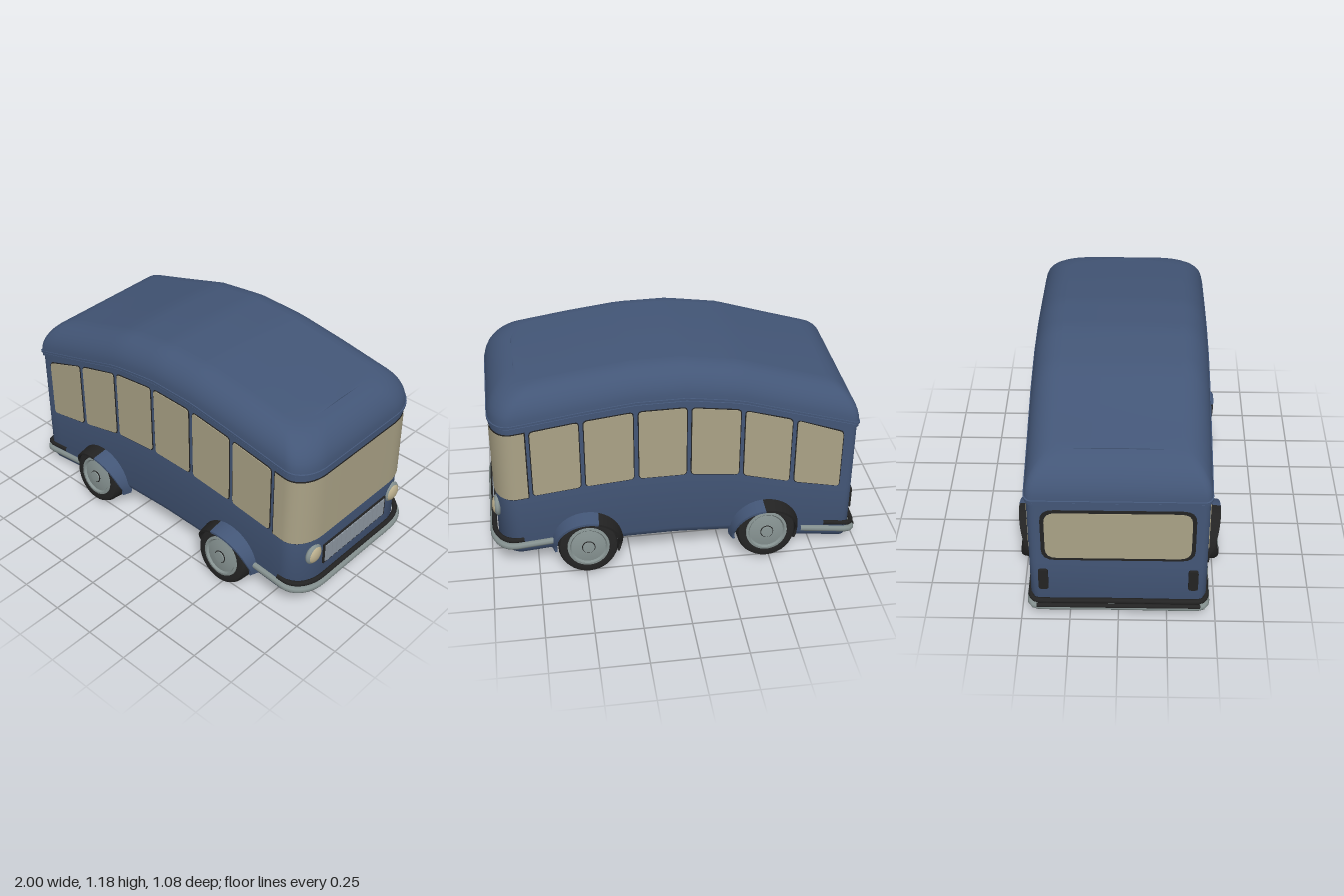
import * as THREE from 'three';
import { toCreasedNormals } from 'three/addons/utils/BufferGeometryUtils.js';

const material = (name, color) => {
  const m = new THREE.MeshStandardMaterial({ color });
  m.name = name;
  return m;
};

// Piecewise curve y(x) through a few points
const curve = (pts) => (x) => {
  let i = 1;
  while (i < pts.length - 1 && x > pts[i][0]) i++;
  const [x0, y0] = pts[i - 1], [x1, y1] = pts[i];
  return y0 + (y1 - y0) * (x - x0) / (x1 - x0);
};
const bottom = curve([[-0.96, 0.02], [-0.65, 0.06], [-0.3, 0.135], [0, 0.15], [0.35, 0.145], [0.65, 0.118], [0.95, 0.09]]);
const eave = curve([[-0.96, 0.79], [-0.62, 0.892], [-0.33, 0.982], [-0.05, 1.022], [0.22, 1.018], [0.5, 0.982], [0.77, 0.94], [0.95, 0.915]]);
const height = (x, v) => bottom(x) + (eave(x) - bottom(x)) * v;

// Half of the plan outline, nose centre to tail centre along +z, inset by d
function halfPlan(d) {
  const F = 0.955 - d, R = -0.96 + d, W = 0.45 - d, rx = 0.12, rz = 0.18, rr = 0.04;
  const pts = [[F, 0], [F, (W - rz) / 2]];
  for (let i = 0; i <= 10; i++) {
    const a = i / 10 * Math.PI / 2;
    pts.push([F - rx + rx * Math.cos(a), W - rz + rz * Math.sin(a)]);
  }
  for (let i = 1; i < 28; i++) pts.push([F - rx + (R + rr - F + rx) * i / 28, W]);
  for (let i = 0; i <= 4; i++) {
    const a = i / 4 * Math.PI / 2;
    pts.push([R + rr - rr * Math.sin(a), W - rr + rr * Math.cos(a)]);
  }
  pts.push([R, 0]);
  return pts;
}
const mirrored = (pts) => pts.map(([x, z]) => [x, -z]);
const fullPlan = (d) => {
  const h = halfPlan(d);
  return [...h, ...mirrored(h).reverse().slice(1)];
};
const lift = (pts, f) => pts.map(([x, z]) => [x, f(x, z), z]);

// Skin between rows of points
function loft(rows, crease = 0.7) {
  const n = rows[0].length, index = [];
  for (let k = 0; k < rows.length - 1; k++) {
    for (let i = 0; i < n - 1; i++) {
      const a = k * n + i, b = a + 1, c = a + n, e = c + 1;
      index.push(a, c, b, b, c, e);
    }
  }
  const g = new THREE.BufferGeometry();
  g.setAttribute('position', new THREE.Float32BufferAttribute(rows.flat(2), 3));
  g.setIndex(index);
  return toCreasedNormals(g, crease);
}

// Thin plate with rounded corners
function plate(corners, r, depth) {
  const p = corners.map(([x, y]) => new THREE.Vector2(x, y)), s = new THREE.Shape();
  p.forEach((c, i) => {
    const toward = (q) => c.clone().add(q.clone().sub(c).setLength(r));
    const a = toward(p[(i + 3) % 4]), b = toward(p[(i + 1) % 4]);
    if (i) s.lineTo(a.x, a.y); else s.moveTo(a.x, a.y);
    s.quadraticCurveTo(c.x, c.y, b.x, b.y);
  });
  s.closePath();
  return new THREE.ExtrudeGeometry(s, { depth, bevelEnabled: false, curveSegments: 4 });
}

export function createModel() {
  const model = new THREE.Group();
  const blue = material('body blue', 0x435677);
  const glass = material('window cream', 0xaaa286);
  const lamp = material('lamp cream', 0xbdb18f);
  const chrome = material('chrome grey', 0x84908f);
  const silver = material('grille silver', 0x8f99a3);
  const black = material('rubber black', 0x232323);
  const add = (name, geometry, mat, parent = model) => {
    const m = new THREE.Mesh(geometry, mat);
    m.name = name;
    parent.add(m);
    return m;
  };

  // Body walls with a rounded lower edge, and the floor
  const sill = [[0.05, 0], [0.03, 0.005], [0.012, 0.018], [0, 0.05]];
  const walls = sill.map(([d, h]) => lift(fullPlan(d), (x) => bottom(x) + h));
  for (const v of [0.45, 0.98]) walls.push(lift(fullPlan(0), (x) => height(x, v)));
  add('body', loft(walls), blue);
  const floor = halfPlan(0.05);
  add('floor', loft([lift(mirrored(floor), bottom), lift(floor, bottom)]), blue);

  // Gutter around the eave
  const gutter = [[0, 0.958], [-0.007, 0.962], [-0.007, 0.982], [0, 0.985], [0, 0.988], [-0.012, 0.99], [-0.012, 1.004], [0, 1.008]];
  add('roofGutter', loft(gutter.map(([d, v]) => lift(fullPlan(d), (x) => height(x, v)))), blue);

  // Domed roof
  const dome = [], roofInset = (a) => -0.008 + 0.15 * (1 - Math.cos(a));
  for (let i = 0; i <= 9; i++) {
    const a = i / 9 * Math.PI / 2;
    dome.push(lift(fullPlan(roofInset(a)), (x) => eave(x) + 0.162 * Math.sin(a)));
  }
  add('roof', loft(dome, 1), blue);
  const top = halfPlan(roofInset(Math.PI / 2)), crown = [];
  for (let i = 0; i <= 6; i++) {
    const t = 1 - i / 3;
    crown.push(top.map(([x, z]) => [x, eave(x) + 0.162 + 0.006 * (1 - t * t), z * t]));
  }
  add('roofTop', loft(crown, 1), blue);

  // Side windows with dark rims
  const bays = [[-0.88, -0.632], [-0.602, -0.355], [-0.327, -0.075], [-0.047, 0.2], [0.23, 0.48], [0.508, 0.755]];
  const bay = (a, b, e) => [
    [a - e, height(a, 0.465) - e], [b + e, height(b, 0.465) - e],
    [b + e, height(b, 0.932) + e], [a - e, height(a, a < -0.8 ? 0.905 : 0.932) + e]];
  for (const s of [1, -1]) {
    bays.forEach(([a, b], i) => {
      const rim = add('windowRim' + i, plate(bay(a, b, 0.005), 0.025, 0.004), black);
      const pane = add('sideWindow' + i, plate(bay(a, b, 0), 0.02, 0.008), glass);
      rim.position.z = s > 0 ? 0.449 : -0.453;
      pane.position.z = s > 0 ? 0.449 : -0.457;
    });
  }

  // Wraparound windscreen; noseRun is an outline strip round the front
  const noseRun = (start, d) => {
    const h = halfPlan(d).filter(([x]) => x > start + 0.01);
    h.push([start, 0.45 - d]);
    return [...mirrored(h).reverse(), ...h.slice(1)];
  };
  const screen = (start, d, v0, v1) =>
    loft([v0, v1].map((v) => lift(noseRun(start, d), (x) => height(x, v))));
  add('windscreenRim', screen(0.776, -0.003, 0.45, 0.942), black);
  add('windscreen', screen(0.782, -0.006, 0.456, 0.936), glass);

  // Rear window and tail lamps
  const rect = (w, y0, y1) => [[-w, y0], [w, y0], [w, y1], [-w, y1]];
  const onTail = (name, corners, r, depth, mat, z = 0) => {
    const m = add(name, plate(corners, r, depth), mat);
    m.rotation.y = -Math.PI / 2;
    m.position.set(-0.959, 0, z);
  };
  onTail('rearWindowRim', rect(0.385, 0.395, 0.725), 0.07, 0.005, black);
  onTail('rearWindow', rect(0.365, 0.412, 0.708), 0.06, 0.008, glass);
  for (const s of [1, -1]) onTail('tailLamp', rect(0.025, 0.2, 0.33), 0.015, 0.016, black, s * 0.38);

  // Grille and headlamps
  const box = (name, mat, sx, sy, sz, x, y, z) =>
    add(name, new THREE.BoxGeometry(sx, sy, sz), mat).position.set(x, y, z);
  box('grilleFrame', black, 0.016, 0.126, 0.52, 0.955, 0.32, 0);
  box('grillePanel', silver, 0.016, 0.108, 0.498, 0.958, 0.32, 0);
  for (let i = -6; i <= 6; i++) box('grilleSlat', silver, 0.01, 0.104, 0.012, 0.965, 0.32, i * 0.038);
  for (const s of [1, -1]) {
    const shell = add('headlampShell', new THREE.SphereGeometry(0.058, 24, 16), chrome);
    shell.scale.x = 0.42;
    shell.position.set(0.948, 0.365, s * 0.328);
    const lens = add('headlampLens', new THREE.SphereGeometry(0.05, 24, 16), lamp);
    lens.scale.x = 0.5;
    lens.position.set(0.953, 0.365, s * 0.328);
  }

  // Bumpers: a chrome bar and a dark upper rail at each end
  const bar = (name, run, rise, r, mat) => {
    const pts = run.map(([x, z]) => new THREE.Vector3(x, bottom(x) + rise, z * 0.955));
    add(name, new THREE.TubeGeometry(new THREE.CatmullRomCurve3(pts), 64, r, 8), mat);
  };
  const tailRun = (start, d) => {
    const h = halfPlan(d).filter(([x]) => x < start);
    return [...h, ...mirrored(h).reverse().slice(1)];
  };
  bar('frontBumper', noseRun(0.66, -0.027), 0.075, 0.018, chrome);
  bar('frontBumperRail', noseRun(0.82, -0.02), 0.108, 0.014, black);
  bar('rearBumper', tailRun(-0.66, -0.022), 0.07, 0.018, chrome);
  bar('rearBumperRail', tailRun(-0.78, -0.02), 0.11, 0.014, black);
  const rearBar = add('rearBumperPad', new THREE.CylinderGeometry(0.012, 0.012, 0.84, 10), black);
  rearBar.rotation.x = Math.PI / 2;
  rearBar.position.set(-0.988, 0.098, 0);

  // Splayed wheels
  const lathe = (pts) =>
    toCreasedNormals(new THREE.LatheGeometry(pts.map(([r, y]) => new THREE.Vector2(r, y)), 32).rotateX(Math.PI / 2), 0.6);
  const tyre = lathe([[0, -0.065], [0.135, -0.065], [0.152, -0.058], [0.16, -0.04], [0.16, 0.04], [0.152, 0.058], [0.135, 0.065], [0.116, 0.064], [0.11, 0.05]]);
  const hub = lathe([[0.115, 0.05], [0.112, 0.064], [0.1, 0.066], [0.092, 0.055], [0.06, 0.062], [0.035, 0.064], [0.03, 0.076], [0, 0.078]]);

  // Flared fenders, dark on the trailing part
  const fender = (cx, cy, s, a0, a1) => {
    const rows = [[0, 0.168], [1, 0.168], [1, 0.18], [0, 0.195]].map(([out, r]) => {
      const row = [];
      for (let i = 0; i <= 16; i++) {
        const a = a0 + (a1 - a0) * i / 16;
        const flare = 0.48 + 0.06 * Math.max(0, Math.sin(a)) ** 0.7;
        row.push([cx + r * Math.cos(a), cy + r * Math.sin(a), s * (out ? flare : 0.43)]);
      }
      return row;
    });
    return loft(s > 0 ? rows : rows.reverse(), 0.5);
  };
  for (const [label, cx, split] of [['front', 0.485, 1.9], ['rear', -0.48, 1.5]]) {
    for (const s of [1, -1]) {
      const wheel = new THREE.Group();
      wheel.name = label + 'Wheel';
      add('tyre', tyre, black, wheel);
      add('hubcap', hub, chrome, wheel);
      add('hubRing', new THREE.TorusGeometry(0.032, 0.004, 6, 20), black, wheel).position.z = 0.068;
      wheel.rotation.x = -0.13;
      const mount = new THREE.Group();
      mount.name = label + 'WheelMount';
      mount.add(wheel);
      mount.position.set(cx, 0.17, s * 0.457);
      if (s < 0) mount.rotation.y = Math.PI;
      model.add(mount);

      const cy = label === 'front' ? 0.163 : 0.148;
      add(label + 'Fender', fender(cx, cy, s, -0.2, split), blue);
      add(label + 'FenderGuard', fender(cx, cy, s, split, 3.5), black);
      const well = add(label + 'WheelWell', new THREE.CircleGeometry(0.168, 24, 0, Math.PI), black);
      well.position.set(cx, cy, s * 0.452);
      if (s < 0) well.rotation.y = Math.PI;
    }
  }
  return model;
}
